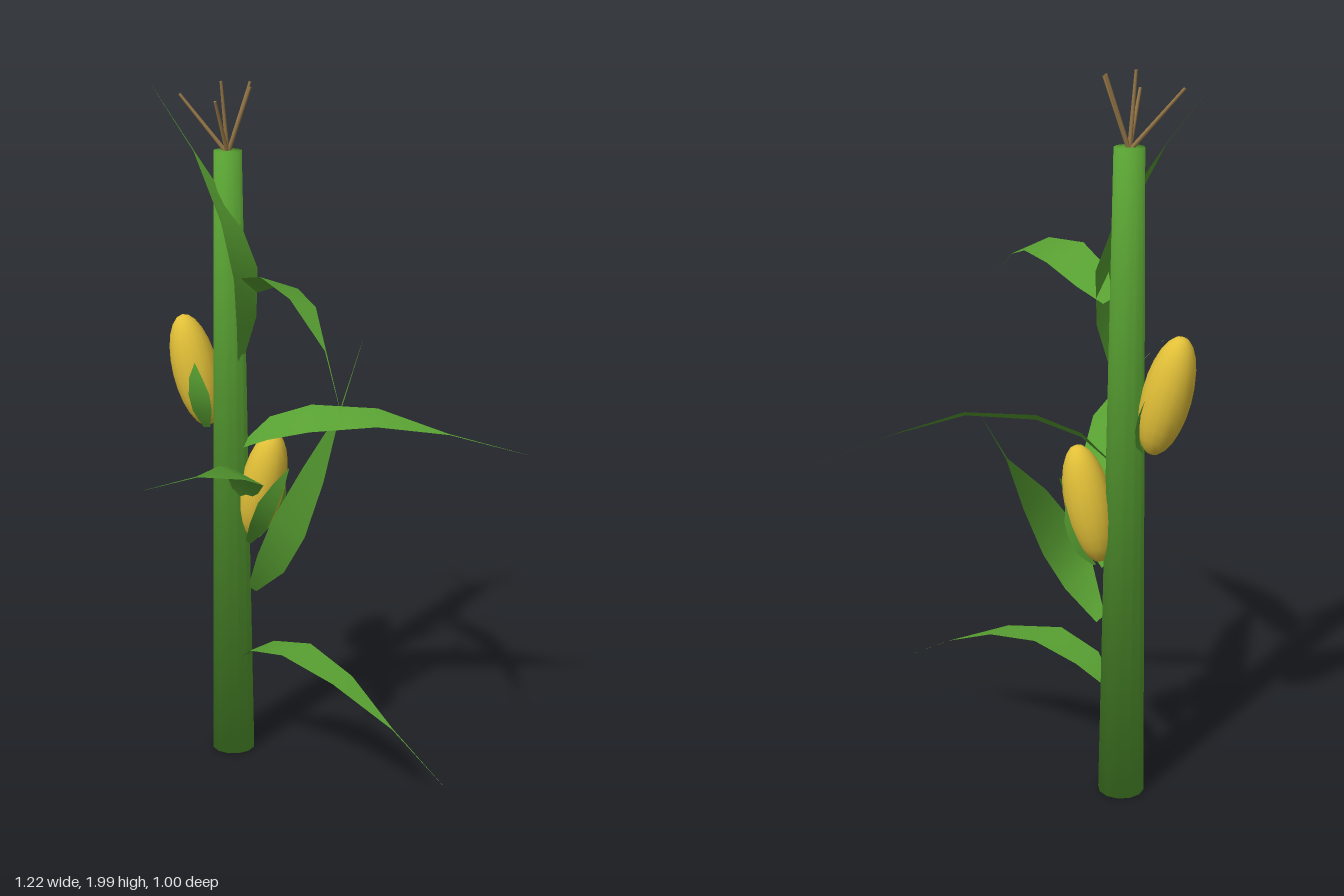
import * as THREE from 'three';
import { mergeVertices } from 'three/addons/utils/BufferGeometryUtils.js';

const V = (p) => new THREE.Vector3(...p);

// Blade: a strip of cross-sections along a centre path, widened along one side direction
function blade(path, widths, side, material, name) {
  const dir = V(side).normalize();
  const pos = [], index = [];
  path.forEach((p, i) => {
    for (const s of [-0.5, 0.5]) pos.push(...V(p).addScaledVector(dir, s * widths[i]).toArray());
    if (i) {
      const a = 2 * i - 2;
      index.push(a, a + 1, a + 2, a + 1, a + 3, a + 2);
    }
  });
  const g = new THREE.BufferGeometry();
  g.setAttribute('position', new THREE.Float32BufferAttribute(pos, 3));
  g.setIndex(index);
  g.computeVertexNormals();
  const m = new THREE.Mesh(g, material);
  m.name = name;
  return m;
}

// Closed cylinder whose rim normals are blended halfway between side and cap
function softCylinder(top, bottom, height, sides) {
  let g = new THREE.CylinderGeometry(top, bottom, height, sides);
  g.deleteAttribute('normal');
  g.deleteAttribute('uv');
  g = mergeVertices(g, 1e-4);
  const p = g.attributes.position;
  const normals = [];
  for (let i = 0; i < p.count; i++) {
    const n = new THREE.Vector3(p.getX(i), 0, p.getZ(i)).normalize();
    n.y = Math.sign(p.getY(i)) * 0.8;
    normals.push(...n.normalize().toArray());
  }
  g.setAttribute('normal', new THREE.Float32BufferAttribute(normals, 3));
  return g;
}

// Places a mesh so that its y axis runs from a to b
function align(mesh, a, b) {
  mesh.position.copy(a).add(b).multiplyScalar(0.5);
  mesh.quaternion.setFromUnitVectors(new THREE.Vector3(0, 1, 0), b.clone().sub(a).normalize());
  return mesh;
}

export function createModel() {
  const group = new THREE.Group();
  const green = new THREE.MeshStandardMaterial({ color: 0x58a032, side: THREE.DoubleSide });
  green.name = 'leaf green';
  const yellow = new THREE.MeshStandardMaterial({ color: 0xe2c038 });
  yellow.name = 'corn yellow';
  const brown = new THREE.MeshStandardMaterial({ color: 0x927446 });
  brown.name = 'tassel brown';

  // Stalk
  const stalk = new THREE.Mesh(softCylinder(0.04, 0.0635, 1.8, 12), green);
  stalk.name = 'stalk';
  stalk.position.set(0.068, 0.9, -0.342);
  group.add(stalk);

  // Long arching leaves, each ending in a thread-thin tip
  const widths = [0.03, 0.1, 0.118, 0.08, 0.004, 0.0004];
  const leaves = [
    { side: [1, 0, 0], path: [[0.068, 0.3, -0.3], [0.068, 0.36, -0.22], [0.068, 0.39, -0.08], [0.068, 0.35, 0.1], [0.068, 0.26, 0.29], [0.068, 0.15, 0.48]] },
    { side: [0.7, -0.6, 0.4], path: [[0.1, 0.51, -0.29], [0.095, 0.61, -0.21], [0.135, 0.72, -0.175], [0.225, 0.86, -0.165], [0.365, 1.02, -0.188], [0.53, 1.19, -0.25]] },
    { side: [0.4, -0.4, 0.82], path: [[0.06, 0.8, -0.3], [0.025, 0.86, -0.25], [-0.035, 0.92, -0.18], [-0.18, 0.985, -0.085], [-0.37, 1.035, -0.02], [-0.61, 1.07, 0.035]] },
    { side: [0.7, 0.42, -0.58], path: [[0.08, 0.96, -0.3], [0.1, 1.02, -0.22], [0.155, 1.06, -0.11], [0.27, 1.068, 0.04], [0.42, 1.015, 0.18], [0.61, 0.94, 0.32]] },
    { side: [0.87, -0.36, 0.36], path: [[0.095, 1.4, -0.3], [0.07, 1.445, -0.23], [0.01, 1.478, -0.09], [-0.065, 1.462, 0.07], [-0.17, 1.385, 0.25], [-0.3, 1.265, 0.43]] },
    { side: [0.98, 0.1, -0.2], path: [[0.07, 1.21, -0.3], [0.06, 1.33, -0.265], [0.05, 1.47, -0.257], [0.03, 1.62, -0.3], [-0.005, 1.8, -0.4], [-0.045, 1.97, -0.52]] },
  ];
  leaves.forEach((l, i) => group.add(blade(l.path, widths, l.side, green, `leaf${i + 1}`)));

  // Cobs leaning away from the stalk
  const cobs = [
    { from: [0.1, 0.68, -0.29], to: [0.128, 1.0, -0.225], r: 0.064 },
    { from: [0.052, 1.0, -0.415], to: [0.018, 1.32, -0.483], r: 0.066 },
  ];
  cobs.forEach((c, i) => {
    const a = V(c.from), b = V(c.to);
    const g = new THREE.SphereGeometry(1, 16, 12);
    g.scale(c.r, a.distanceTo(b) / 2 + 0.002, c.r);
    const cob = align(new THREE.Mesh(g, yellow), a, b);
    cob.name = `cob${i + 1}`;
    group.add(cob);
  });

  // Husk blades curling around the cobs
  const huskWidths = [0.02, 0.06, 0.065, 0.04, 0.001];
  const husks = [
    { scale: 1, side: [0.85, -0.45, 0.3], path: [[0.085, 0.66, -0.29], [0.06, 0.73, -0.225], [0.065, 0.8, -0.193], [0.095, 0.855, -0.178], [0.14, 0.9, -0.178]] },
    { scale: 0.5, side: [0.9, 0, 0.3], path: [[0.115, 0.67, -0.28], [0.15, 0.71, -0.265], [0.168, 0.76, -0.25], [0.175, 0.8, -0.235], [0.168, 0.85, -0.222]] },
    { scale: 0.9, side: [0.75, 0, 0.66], path: [[0.03, 1.0, -0.4], [-0.002, 1.06, -0.385], [-0.016, 1.11, -0.383], [-0.022, 1.16, -0.39], [-0.015, 1.2, -0.4]] },
    { scale: 0.4, side: [0.95, 0, -0.2], path: [[0.065, 1.0, -0.4], [0.095, 1.03, -0.403], [0.108, 1.08, -0.41], [0.113, 1.12, -0.42], [0.105, 1.16, -0.43]] },
  ];
  husks.forEach((h, i) => group.add(blade(h.path, huskWidths.map((w) => w * h.scale), h.side, green, `husk${i + 1}`)));

  // Tassel strands
  const tips = [[0.0, 1.95, -0.46], [0.048, 1.99, -0.345], [0.125, 1.985, -0.31], [0.095, 1.975, -0.28], [0.01, 1.94, -0.33]];
  tips.forEach((p, i) => {
    const b = V(p), a = new THREE.Vector3(0.068, 1.79, -0.342).lerp(b, 0.02);
    const strand = align(new THREE.Mesh(new THREE.CylinderGeometry(0.004, 0.006, a.distanceTo(b), 12), brown), a, b);
    strand.name = `tassel${i + 1}`;
    group.add(strand);
  });
  return group;
}
